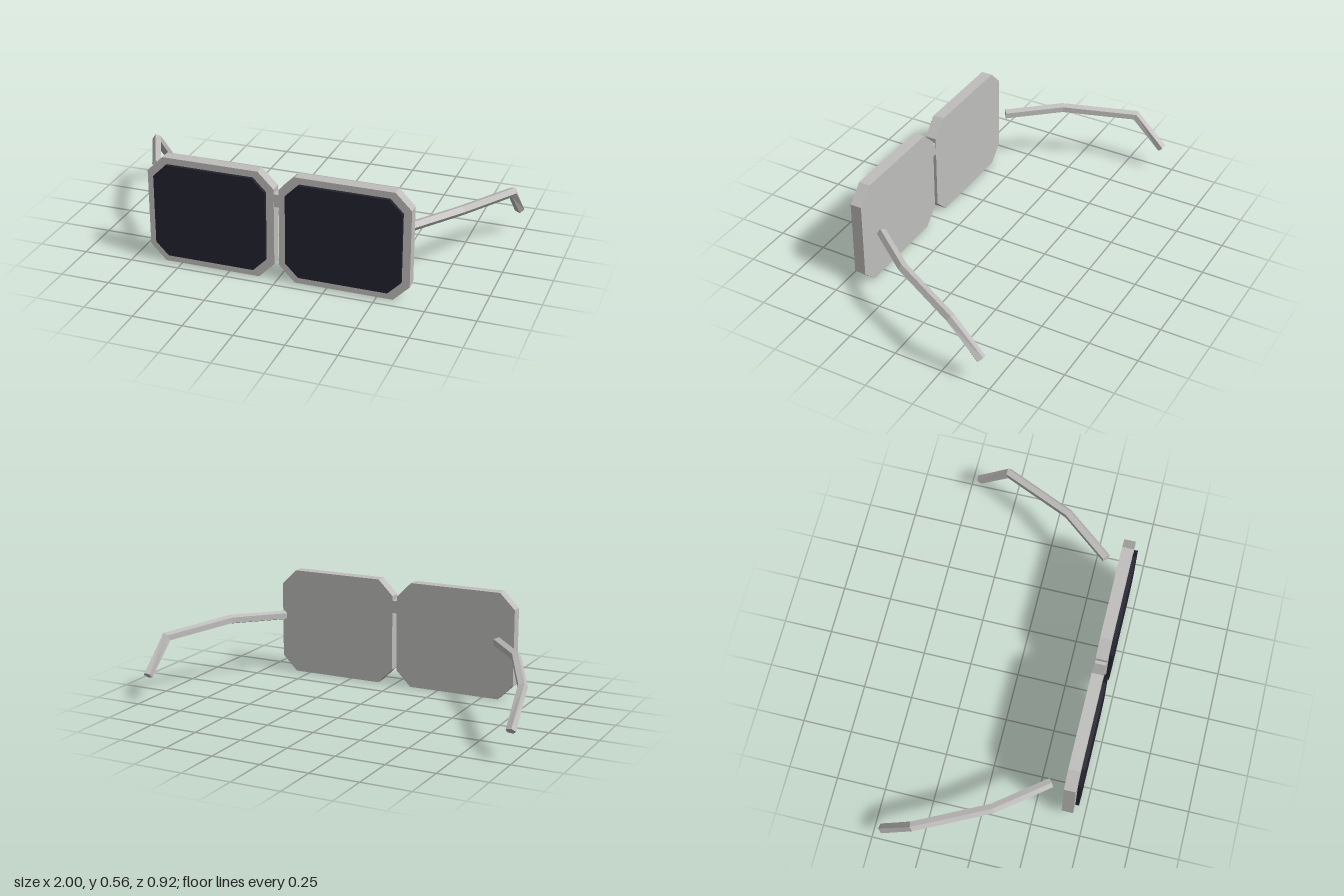
import * as THREE from 'three';

const frameGrey = new THREE.MeshStandardMaterial({ color: 0xbfbebc });
frameGrey.name = 'frameGrey';
const lensDark = new THREE.MeshStandardMaterial({ color: 0x22222e });
lensDark.name = 'lensDark';

// Rectangular plate with cut corners, extruded from z0 to z1
function cutPlate(name, x0, x1, y0, y1, cut, z0, z1, material) {
  const shape = new THREE.Shape([
    [x0 + cut, y0], [x1 - cut, y0], [x1, y0 + cut], [x1, y1 - cut],
    [x1 - cut, y1], [x0 + cut, y1], [x0, y1 - cut], [x0, y0 + cut],
  ].map(([x, y]) => new THREE.Vector2(x, y)));
  const geometry = new THREE.ExtrudeGeometry(shape, { depth: z1 - z0, bevelEnabled: false });
  geometry.translate(0, 0, z0);
  const mesh = new THREE.Mesh(geometry, material);
  mesh.name = name;
  return mesh;
}

// Five-sided rod with mitred bends and closed ends; one edge points outward
function bentRod(path, radius, outward) {
  const sides = 5;
  const rings = path.map((p, i) => {
    const next = path[i + 1] ? path[i + 1].clone().sub(p).normalize() : null;
    const prev = i ? p.clone().sub(path[i - 1]).normalize() : null;
    const dir = prev || next;
    const normal = dir.clone().add(next || dir).normalize();
    const side = new THREE.Vector3().crossVectors(dir, new THREE.Vector3(0, 1, 0)).normalize();
    const up = new THREE.Vector3().crossVectors(side, dir);
    if (side.x * outward < 0) side.negate();
    return Array.from({ length: sides }, (_, k) => {
      const a = (k / sides) * Math.PI * 2;
      const o = side.clone().multiplyScalar(Math.cos(a) * radius)
        .addScaledVector(up, Math.sin(a) * radius);
      o.addScaledVector(dir, -o.dot(normal) / dir.dot(normal));
      return o.add(p);
    });
  });
  const corners = [];
  // Keep the winding outward on both mirrored sides
  const tri = (a, b, c) => corners.push(...(outward > 0 ? [a, b, c] : [a, c, b]));
  for (let i = 0; i < rings.length - 1; i++) {
    for (let k = 0; k < sides; k++) {
      const n = (k + 1) % sides;
      tri(rings[i][k], rings[i + 1][n], rings[i][n]);
      tri(rings[i][k], rings[i + 1][k], rings[i + 1][n]);
    }
  }
  const first = rings[0];
  const last = rings[rings.length - 1];
  for (let k = 1; k < sides - 1; k++) {
    tri(first[0], first[k], first[k + 1]);
    tri(last[0], last[k + 1], last[k]);
  }
  const geometry = new THREE.BufferGeometry().setFromPoints(corners);
  geometry.computeVertexNormals();
  return geometry;
}

export function createModel() {
  const group = new THREE.Group();
  group.name = 'glasses';

  // Rims and lenses, the pair sits a hair off centre
  for (const [label, x] of [['right', -0.34], ['left', 0.335]]) {
    group.add(cutPlate(label + 'Rim', x - 0.325, x + 0.325, 0, 0.555, 0.08, 0.385, 0.443, frameGrey));
    group.add(cutPlate(label + 'Lens', x - 0.287, x + 0.287, 0.04, 0.523, 0.065, 0.445, 0.463, lensDark));
  }

  // Bridge
  const bridge = new THREE.Mesh(new THREE.BoxGeometry(0.03, 0.065, 0.056), frameGrey);
  bridge.name = 'bridge';
  bridge.position.set(-0.0025, 0.418, 0.414);
  group.add(bridge);

  // Temples, bowed outward and hooked down at the ears
  const path = [[0.605, 0.323, 0.312], [0.797, 0.332, 0.07], [0.965, 0.3, -0.283], [0.975, 0.137, -0.443]];
  for (const s of [1, -1]) {
    const points = path.map(([x, y, z]) => new THREE.Vector3(x * s, y, z));
    const temple = new THREE.Mesh(bentRod(points, 0.025, s), frameGrey);
    temple.name = s > 0 ? 'leftTemple' : 'rightTemple';
    group.add(temple);
  }
  return group;
}
